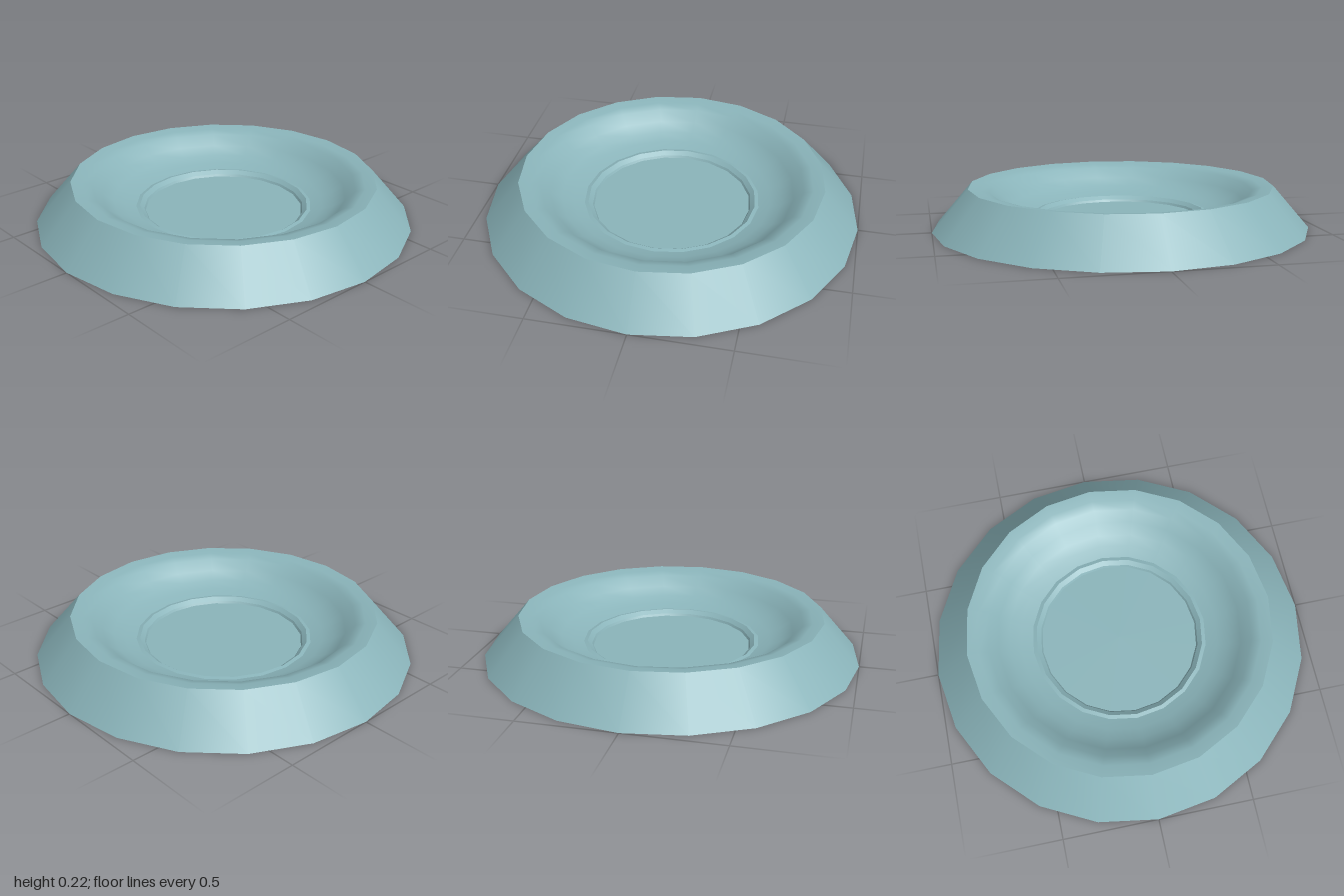
import * as THREE from 'three';

const SIDES = 20;

export function createModel() {
  const group = new THREE.Group();
  group.name = 'dish';
  const material = new THREE.MeshStandardMaterial({ color: 0x8ab4ba, side: THREE.DoubleSide });

  // Each part is its own turned shell, so the edges between parts stay sharp.
  const turn = (name, profile) => {
    const points = profile.map(([r, y]) => new THREE.Vector2(r, y));
    const mesh = new THREE.Mesh(new THREE.LatheGeometry(points, SIDES), material);
    mesh.name = name;
    group.add(mesh);
  };

  // sloping outer skirt, open underneath
  turn('outerSkirt', [[1, 0], [0.81, 0.22]]);
  // gently sloping rim that rolls into the bowl
  turn('bowl', [[0.81, 0.22], [0.75, 0.212], [0.70, 0.197], [0.65, 0.145], [0.59, 0.105], [0.53, 0.082], [0.47, 0.066]]);
  // small lip and step around the floor
  turn('innerLip', [[0.47, 0.066], [0.45, 0.07]]);
  turn('innerStep', [[0.45, 0.07], [0.427, 0.052]]);
  turn('floorWall', [[0.427, 0.052], [0.42, 0.04]]);
  // flat floor
  turn('floor', [[0.42, 0.04], [0, 0.04]]);

  return group;
}
